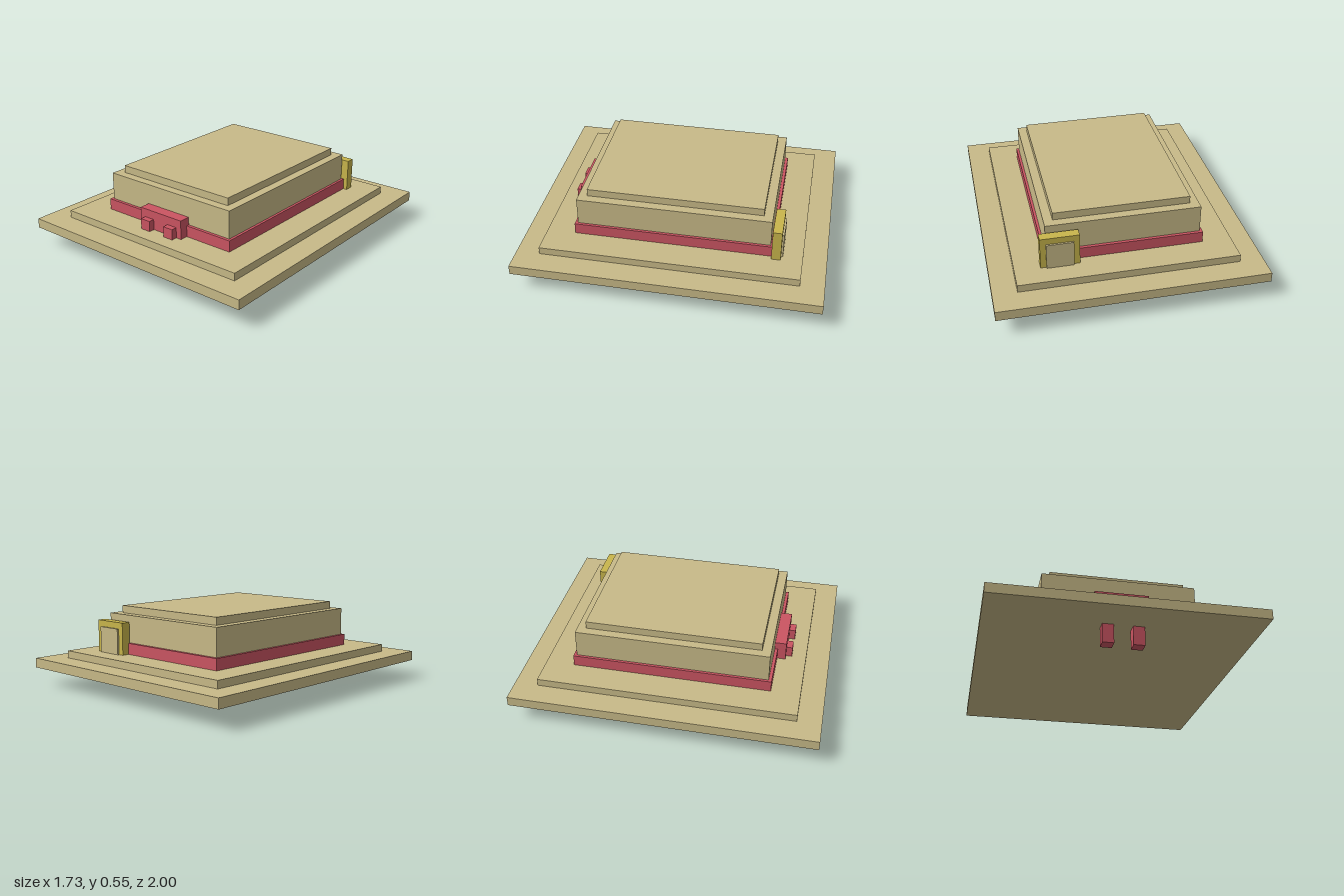
import * as THREE from 'three';

export function createModel() {
  const model = new THREE.Group();
  model.name = 'steppedBuilding';

  const material = (name, color) => {
    const m = new THREE.MeshStandardMaterial({ color });
    m.name = name;
    return m;
  };
  const sandstone = material('sandstone', 0xc8ba88);
  const red = material('red', 0xcb5562);
  const gold = material('gold', 0xc9b64c);

  // Box given by its lower and upper limits on each axis
  const block = (name, mat, [x0, x1], [y0, y1], [z0, z1]) => {
    const mesh = new THREE.Mesh(new THREE.BoxGeometry(x1 - x0, y1 - y0, z1 - z0), mat);
    mesh.position.set((x0 + x1) / 2, (y0 + y1) / 2, (z0 + z1) / 2);
    mesh.name = name;
    model.add(mesh);
  };
  // Box centred on the x and z axes
  const tier = (name, mat, halfX, y, halfZ) =>
    block(name, mat, [-halfX, halfX], y, [-halfZ, halfZ]);

  // Stacked tiers, from the ground up
  tier('basePlatform', sandstone, 0.865, [0.125, 0.19], 1);
  tier('upperPlatform', sandstone, 0.71, [0.19, 0.24], 0.845);
  tier('wallBand', red, 0.517, [0.24, 0.315], 0.655);
  tier('hall', sandstone, 0.5, [0.24, 0.5], 0.635);
  tier('roof', sandstone, 0.442, [0.5, 0.55], 0.577);

  // Front porch with two posts that pass down through the platforms
  block('porch', red, [-0.173, 0.173], [0.24, 0.367], [0.63, 0.71]);
  for (const s of [-1, 1]) {
    const x = s * 0.097;
    block(s > 0 ? 'leftPost' : 'rightPost', red, [x - 0.037, x + 0.037], [0, 0.311], [0.675, 0.75]);
  }

  // Back gate with its door panel
  block('backGate', gold, [0.295, 0.545], [0.24, 0.455], [-0.705, -0.645]);
  block('backDoor', sandstone, [0.333, 0.508], [0.24, 0.413], [-0.717, -0.7]);

  return model;
}
